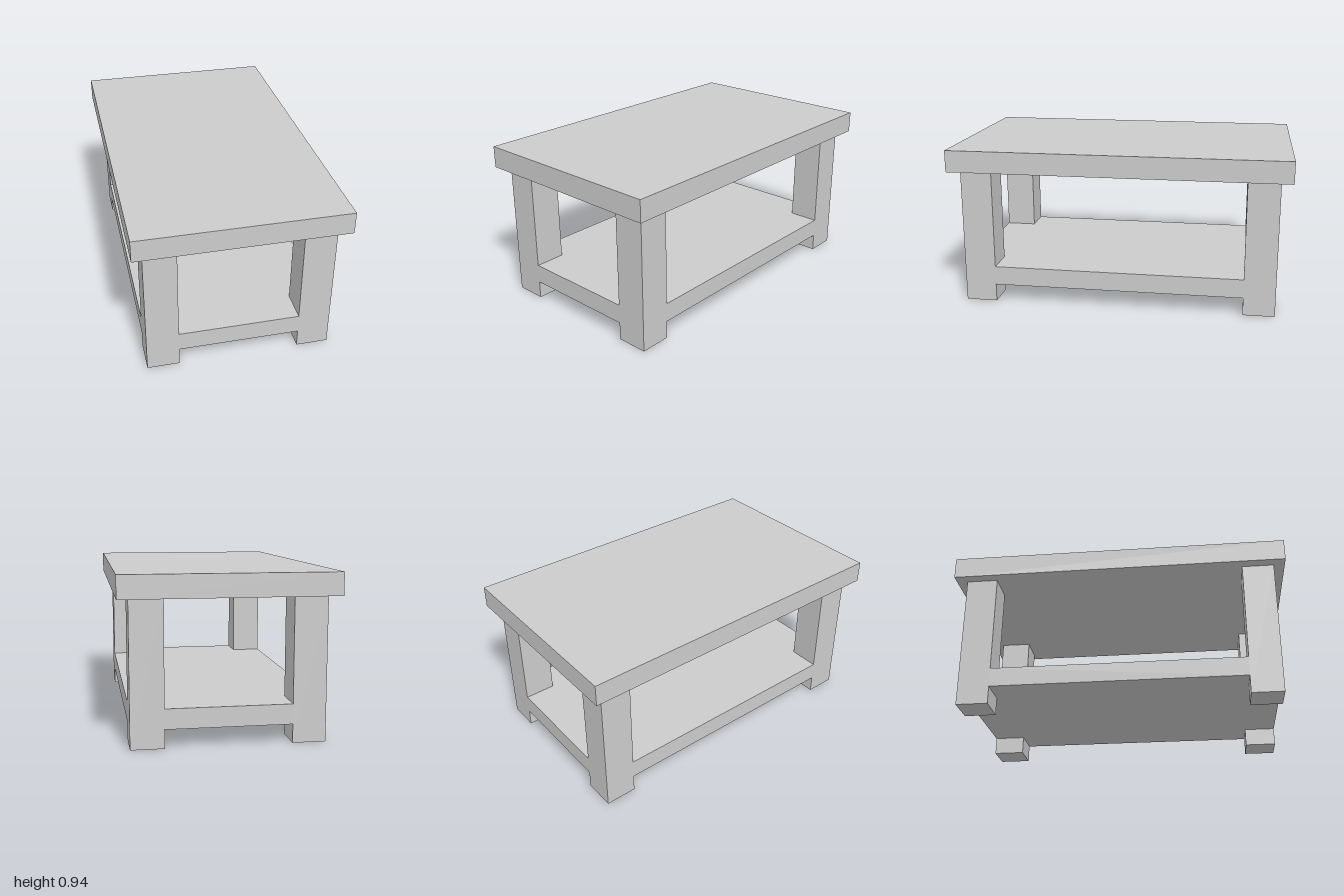
import * as THREE from 'three';

export function createModel() {
  const group = new THREE.Group();
  const material = new THREE.MeshStandardMaterial({ color: 0xcccccc, flatShading: true });

  const height = 0.944, topUnderside = 0.815;
  const shelfBottom = 0.106, shelfTop = 0.22;
  const outX = 0.54, inX = 0.353; // outer and inner faces of the legs
  const outZ = 0.935, inZ = 0.748;

  const add = (name, geometry, x, y, z) => {
    const mesh = new THREE.Mesh(geometry, material);
    mesh.name = name;
    mesh.position.set(x, y, z);
    group.add(mesh);
    return mesh;
  };

  // Table top
  add('tableTop', new THREE.BoxGeometry(1.206, height - topUnderside, 2), 0, (height + topUnderside) / 2, 0);

  // Four square legs
  const legGeometry = new THREE.BoxGeometry(outX - inX, topUnderside, outZ - inZ);
  for (const [sx, side] of [[1, 'Left'], [-1, 'Right']]) {
    for (const [sz, end] of [[1, 'front'], [-1, 'back']]) {
      add(`${end}${side}Leg`, legGeometry, sx * (outX + inX) / 2, topUnderside / 2, sz * (outZ + inZ) / 2);
    }
  }

  // Lower shelf, flush with the outer leg faces and notched around each leg
  const outline = [
    [inX, -outZ], [inX, -inZ], [outX, -inZ], [outX, inZ], [inX, inZ], [inX, outZ],
    [-inX, outZ], [-inX, inZ], [-outX, inZ], [-outX, -inZ], [-inX, -inZ], [-inX, -outZ],
  ].map(([x, z]) => new THREE.Vector2(x, z));
  const shelfGeometry = new THREE.ExtrudeGeometry(new THREE.Shape(outline), {
    depth: shelfTop - shelfBottom, bevelEnabled: false,
  });
  shelfGeometry.rotateX(-Math.PI / 2);
  add('lowerShelf', shelfGeometry, 0, shelfBottom, 0);

  return group;
}
